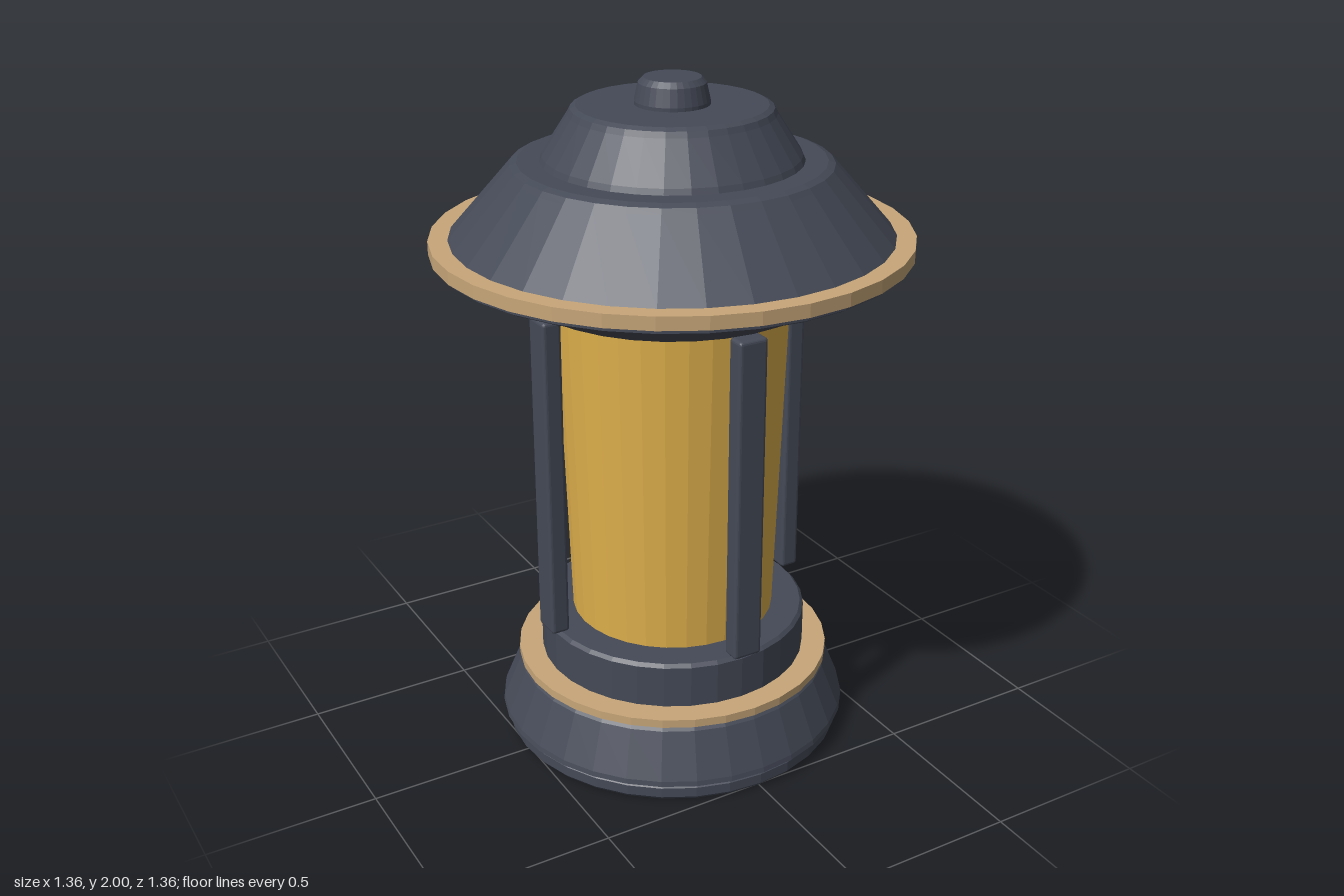
import * as THREE from 'three';
import { RoundedBoxGeometry } from 'three/addons/geometries/RoundedBoxGeometry.js';

const SIDES = 32;

function material(name, color) {
  const m = new THREE.MeshStandardMaterial({ color });
  m.name = name;
  m.flatShading = true;
  return m;
}

export function createModel() {
  const lantern = new THREE.Group();
  lantern.name = 'lantern';
  const slate = material('slate', 0x454a57);
  const brass = material('tan trim', 0xc7a679);
  const amber = material('amber glass', 0xdfb04c);

  // Closed turned part; the profile lists [radius, height] from bottom to top
  function turned(name, mat, profile) {
    const ends = [[0, profile[0][1]], ...profile, [0, profile[profile.length - 1][1]]];
    const points = ends.map(([r, y]) => new THREE.Vector2(r, y));
    const mesh = new THREE.Mesh(new THREE.LatheGeometry(points, SIDES), mat);
    mesh.name = name;
    lantern.add(mesh);
  }

  // Stepped base
  turned('footDisc', slate, [[0.505, 0], [0.515, 0.012], [0.515, 0.042], [0.505, 0.052]]);
  turned('baseSkirt', slate, [[0.515, 0.052], [0.531, 0.06], [0.528, 0.075], [0.473, 0.21], [0.46, 0.225]]);
  turned('baseTrim', brass, [[0.475, 0.225], [0.475, 0.25]]);
  turned('baseCollar', slate, [[0.403, 0.25], [0.403, 0.378], [0.393, 0.388]]);

  // Tapered glass
  turned('glass', amber, [[0.305, 0.38], [0.337, 1.4]]);

  // Four upright posts around the glass
  for (let i = 0; i < 4; i++) {
    const angle = (i * Math.PI) / 2;
    const post = new THREE.Mesh(new RoundedBoxGeometry(0.09, 0.98, 0.057, 2, 0.01), slate);
    post.name = 'post';
    post.position.set(Math.sin(angle) * 0.405, 0.89, Math.cos(angle) * 0.405);
    post.rotation.y = angle;
    lantern.add(post);
  }

  // Eave and its trim
  turned('eaveUnderside', slate, [[0.395, 1.388], [0.425, 1.396], [0.63, 1.505]]);
  turned('eaveLip', slate, [[0.655, 1.505], [0.667, 1.512], [0.667, 1.525]]);
  turned('eaveTrim', brass, [[0.682, 1.525], [0.682, 1.563]]);

  // Two-tier roof and finial
  turned('lowerRoof', slate, [[0.627, 1.563], [0.462, 1.752], [0.45, 1.766], [0.43, 1.774]]);
  turned('upperRoof', slate, [[0.367, 1.774], [0.36, 1.79], [0.288, 1.902], [0.28, 1.918], [0.265, 1.926]]);
  turned('finial', slate, [[0.105, 1.926], [0.105, 1.936], [0.094, 1.985], [0.08, 2]]);

  return lantern;
}
